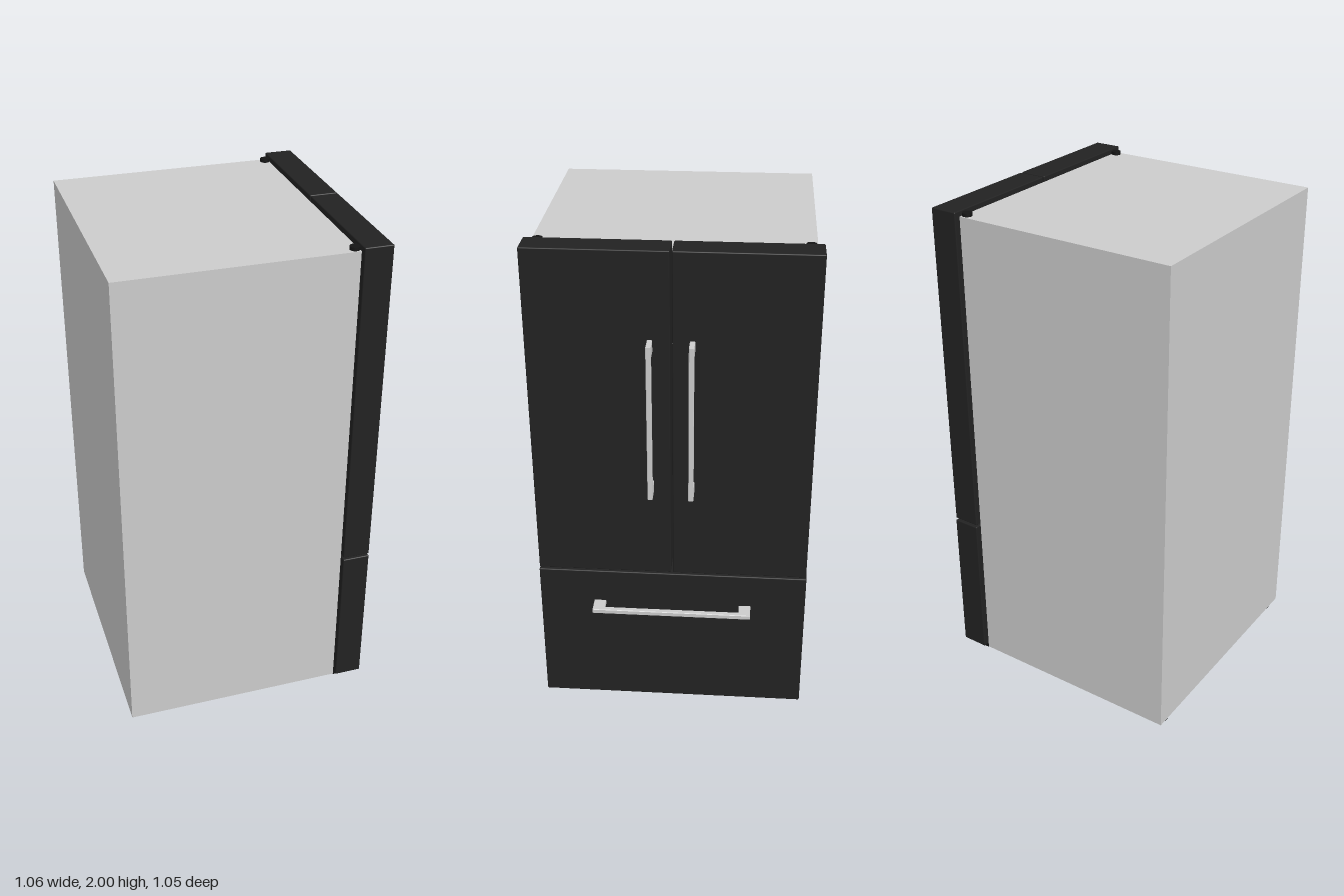
import * as THREE from 'three';
import { RoundedBoxGeometry } from 'three/addons/geometries/RoundedBoxGeometry.js';

export function createModel() {
  const root = new THREE.Group();
  const grey = new THREE.MeshStandardMaterial({ color: 0xcccccc });
  const black = new THREE.MeshStandardMaterial({ color: 0x222222 });
  const darkBlack = new THREE.MeshStandardMaterial({ color: 0x151515 });

  const add = (name, geometry, material, x = 0, y = 0, z = 0) => {
    const mesh = new THREE.Mesh(geometry, material);
    mesh.name = name;
    mesh.position.set(x, y, z);
    root.add(mesh);
    return mesh;
  };
  // Box given by its min and max corners, with optional rounded edges
  const box = (name, material, [x0, y0, z0], [x1, y1, z1], radius = 0) => {
    const size = [x1 - x0, y1 - y0, z1 - z0];
    const geometry = radius
      ? new RoundedBoxGeometry(...size, 2, radius)
      : new THREE.BoxGeometry(...size);
    return add(name, geometry, material, (x0 + x1) / 2, (y0 + y1) / 2, (z0 + z1) / 2);
  };

  // Cabinet and the plinth under the drawer
  box('cabinet', grey, [-0.53, 0.03, -0.502], [0.355, 1.98, 0.502]);
  box('kickPlate', darkBlack, [0.355, 0.027, -0.502], [0.435, 0.052, 0.502]);

  // Two upper doors and the freezer drawer
  box('leftDoor', black, [0.357, 0.672, -0.525], [0.466, 2, -0.004], 0.004);
  box('rightDoor', black, [0.357, 0.672, 0.004], [0.466, 2, 0.525], 0.004);
  box('freezerDrawer', black, [0.357, 0.048, -0.527], [0.466, 0.663, 0.527], 0.004);

  // Bracket handle: a bar on two end posts, drawn as one outline
  const half = 0.312, post = 0.047, depth = 0.065, bar = 0.021;
  const outline = new THREE.Shape([
    [-0.002, -half], [depth, -half], [depth, half], [-0.002, half],
    [-0.002, half - post], [depth - bar, half - post],
    [depth - bar, post - half], [-0.002, post - half],
  ].map(([x, y]) => new THREE.Vector2(x, y)));
  const handleGeometry = new THREE.ExtrudeGeometry(outline, {
    depth: 0.015, bevelEnabled: true, bevelThickness: 0.002,
    bevelSize: 0.002, bevelOffset: -0.002, bevelSegments: 1,
  }).translate(0, 0, -0.0075);
  add('leftDoorHandle', handleGeometry, grey, 0.465, 1.357, -0.076);
  add('rightDoorHandle', handleGeometry, grey, 0.465, 1.357, 0.076);
  add('drawerHandle', handleGeometry, grey, 0.465, 0.513, 0).rotation.x = Math.PI / 2;

  // Top hinges and levelling feet
  for (const z of [-1, 1]) {
    add('hingePin', new THREE.CylinderGeometry(0.019, 0.019, 0.014, 24), darkBlack, 0.339, 1.986, z * 0.478);
    for (const x of [-0.486, 0.317]) {
      add('foot', new THREE.CylinderGeometry(0.036, 0.036, 0.02, 24), darkBlack, x, 0.021, z * 0.444);
    }
  }

  // Shallow tapered pan below the cabinet
  const pan = new THREE.BoxGeometry(0.52, 0.03, 0.52).toNonIndexed();
  const p = pan.attributes.position;
  for (let i = 0; i < p.count; i++) {
    if (p.getY(i) < 0) p.setXYZ(i, p.getX(i) * 0.7, p.getY(i), p.getZ(i) * 0.7);
  }
  pan.computeVertexNormals();
  add('bottomPan', pan, grey, -0.08, 0.015, 0);

  return root;
}
